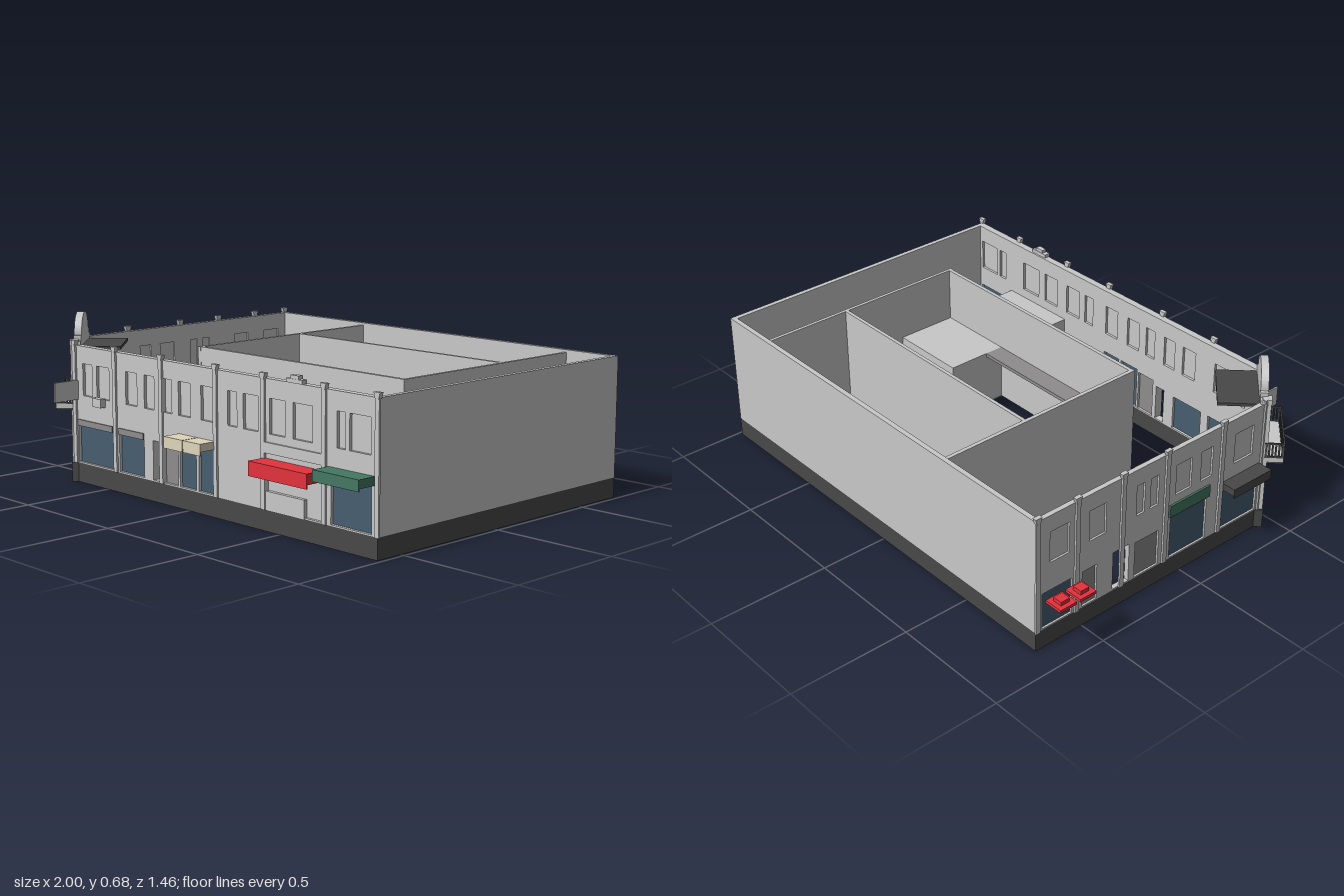
import * as THREE from 'three';

const mat = (name, color) => Object.assign(new THREE.MeshStandardMaterial({ color }), { name });

export function createModel() {
  const model = new THREE.Group();
  model.name = 'cornerShops';
  const wall = mat('wallGrey', 0xc8c8c8), dark = mat('charcoal', 0x484848), glass = mat('blueGlass', 0x465e70);
  const red = mat('awningRed', 0xe4323d), green = mat('awningGreen', 0x457764), beige = mat('awningBeige', 0xdfd5b9);
  const mid = mat('midGrey', 0x8e8c8d);

  const add = (parent, name, geo, m) => {
    const mesh = new THREE.Mesh(geo, m);
    mesh.name = name;
    parent.add(mesh);
    return mesh;
  };
  // Box given by its limits on each axis
  const box = (parent, name, m, x0, x1, y0, y1, z0, z1) => {
    const mesh = add(parent, name, new THREE.BoxGeometry(x1 - x0, y1 - y0, z1 - z0), m);
    mesh.position.set((x0 + x1) / 2, (y0 + y1) / 2, (z0 + z1) / 2);
  };
  const polygon = pts => new THREE.Shape(pts.map(p => new THREE.Vector2(p[0], p[1])));
  const extrude = (shape, depth) => new THREE.ExtrudeGeometry(shape, { depth, bevelEnabled: false, curveSegments: 10 });
  const facade = (name, x, z, angle) => {
    const g = new THREE.Group();
    g.name = name;
    g.position.set(x, 0, z);
    g.rotation.y = angle;
    model.add(g);
    return g;
  };
  // Wall plane with rectangular holes [x0, x1, y0, y1, fill]; its outer face is local z = 0
  const piercedWall = (g, shape, holes, depth) => {
    for (const [x0, x1, y0, y1] of holes) shape.holes.push(polygon([[x0, y0], [x0, y1], [x1, y1], [x1, y0]]));
    add(g, 'wall', extrude(shape, depth), wall).position.z = -depth;
    for (const [x0, x1, y0, y1, fill] of holes)
      if (fill) box(g, fill === glass ? 'shopWindow' : 'infillPanel', fill, x0, x1, y0, y1, -depth * 0.65, -depth * 0.4);
  };
  const rect = (x0, x1, y0, y1) => polygon([[x0, y0], [x1, y0], [x1, y1], [x0, y1]]);
  // Flat awning with a thin valance hanging from its front edge
  const awning = (g, name, m, x0, x1, y0, y1, reach, drop) => {
    box(g, name, m, x0, x1, y0, y1, 0, reach);
    box(g, name + 'Valance', m, x0, x1, y0 - drop, y0, reach - 0.005, reach);
  };
  // Pilaster with a flared cap
  const pilaster = (g, x) => {
    box(g, 'pilaster', wall, x - 0.01, x + 0.01, 0.08, 0.56, 0, 0.008);
    const cap = polygon([[-0.008, 0.556], [0.008, 0.556], [0.015, 0.58], [-0.015, 0.58]]);
    add(g, 'pilasterCap', extrude(cap, 0.017), wall).position.set(x, 0, -0.007);
  };
  const upper = list => list.map(([c, w]) => [c - w / 2, c + w / 2, 0.36, 0.49, wall]);

  // Plinth ring following the plan, flush with the walls
  const plinth = polygon([[-0.885, -0.43], [-0.7, -0.615], [0.985, -0.615], [0.985, 0.72], [-0.885, 0.72]]);
  plinth.holes.push(polygon([[-0.865, 0.7], [0.965, 0.7], [0.965, -0.585], [-0.69, -0.585], [-0.865, -0.42]]));
  add(model, 'plinth', extrude(plinth, 0.08), dark).rotation.x = -Math.PI / 2;

  // Plain back and side walls
  box(model, 'backWall', wall, -0.885, 0.985, 0.08, 0.56, -0.72, -0.7);
  box(model, 'sideWall', wall, 0.965, 0.985, 0.08, 0.56, -0.7, 0.615);

  // Inner partitions and rooms
  box(model, 'partition', wall, -0.378, -0.362, 0.08, 0.55, -0.7, 0.24);
  box(model, 'partition', wall, 0.738, 0.752, 0.08, 0.55, -0.7, 0.24);
  box(model, 'partition', wall, -0.362, 0.738, 0.08, 0.55, -0.325, -0.31);
  box(model, 'partition', wall, -0.362, 0.738, 0.08, 0.55, 0.222, 0.238);
  box(model, 'shopRoom', wall, 0.4, 0.752, 0.084, 0.32, -0.04, 0.585);
  box(model, 'shopFloor', mid, 0.4, 0.753, 0.076, 0.084, -0.04, 0.585);
  box(model, 'innerShelf', mid, -0.362, 0.4, 0.305, 0.32, 0.14, 0.222);

  // Long front facade
  const front = facade('frontFacade', 0, 0.615, 0);
  piercedWall(front, rect(-0.7, 0.965, 0.08, 0.56), [
    [-0.685, -0.46, 0.085, 0.235, glass], [-0.42, -0.265, 0.085, 0.235, glass],
    [-0.21, -0.165, 0.085, 0.24, null], [-0.145, -0.06, 0.085, 0.26, mid],
    [-0.05, 0.045, 0.085, 0.27, glass], [0.06, 0.15, 0.085, 0.27, glass],
    [0.43, 0.72, 0.085, 0.255, wall], [0.76, 0.955, 0.085, 0.27, glass],
    ...upper([[0.9, 0.1], [0.81, 0.04], [0.62, 0.1], [0.49, 0.08], [0.35, 0.08], [0.25, 0.05], [0.11, 0.07], [-0.02, 0.07],
      [-0.12, 0.05], [-0.23, 0.06], [-0.34, 0.07], [-0.52, 0.08], [-0.62, 0.06]]),
  ], 0.03);
  [-0.7, -0.44, -0.155, 0.16, 0.42, 0.73, 0.985].forEach(x => pilaster(front, x));
  for (const [x0, x1] of [[-0.685, -0.46], [-0.42, -0.265]]) box(front, 'windowHeader', mid, x0, x1, 0.235, 0.26, 0, 0.005);
  awning(front, 'beigeAwning', beige, -0.055, 0.053, 0.26, 0.29, 0.075, 0.015);
  awning(front, 'beigeAwning', beige, 0.057, 0.155, 0.26, 0.29, 0.075, 0.015);
  awning(front, 'redAwning', red, 0.42, 0.72, 0.23, 0.27, 0.078, 0.015);
  awning(front, 'greenAwning', green, 0.748, 0.97, 0.258, 0.29, 0.078, 0.01);
  box(front, 'signBoard', wall, 0.43, 0.72, 0.29, 0.33, 0, 0.008);
  box(front, 'stallRiser', wall, 0.43, 0.63, 0.08, 0.15, -0.012, 0.003);
  box(front, 'wallUnit', wall, -0.56, -0.505, 0.33, 0.365, 0, 0.025);
  box(front, 'crest', wall, 0.54, 0.62, 0.56, 0.575, -0.022, 0.004);
  box(front, 'crest', wall, 0.56, 0.6, 0.575, 0.588, -0.02, 0.002);
  box(front, 'projectingSign', wall, -0.689, -0.682, 0.34, 0.42, 0, 0.115);

  // Side street facade, local x runs towards the front
  const side = facade('sideFacade', -0.885, 0, -Math.PI / 2);
  piercedWall(side, rect(-0.72, 0.43, 0.08, 0.56), [
    [-0.69, -0.55, 0.085, 0.24, glass], [-0.5, -0.43, 0.085, 0.24, mid], [-0.35, -0.27, 0.085, 0.25, null],
    [-0.24, -0.12, 0.085, 0.24, mid], [-0.06, 0.13, 0.085, 0.265, glass], [0.22, 0.41, 0.085, 0.26, glass],
    ...upper([[-0.61, 0.09], [-0.43, 0.08], [-0.22, 0.04], [-0.15, 0.04], [0, 0.08], [0.12, 0.06], [0.32, 0.1]]),
  ], 0.02);
  [-0.715, -0.53, -0.31, -0.09, 0.2, 0.43].forEach(x => pilaster(side, x));
  awning(side, 'darkAwning', dark, 0.21, 0.415, 0.27, 0.3, 0.065, 0.01);
  box(side, 'greenSign', green, -0.07, 0.14, 0.275, 0.325, 0, 0.008);
  for (const x of [-0.67, -0.578]) {
    box(side, 'redCanopy', red, x - 0.038, x + 0.038, 0.234, 0.246, 0.038, 0.115);
    box(side, 'redCanopyTop', red, x - 0.02, x + 0.02, 0.246, 0.262, 0.057, 0.097);
  }

  // Cut corner with a shouldered gable and an arched head
  const corner = facade('cornerTower', -0.8, 0.525, -Math.PI / 4);
  const gable = polygon([[-0.135, 0.08], [0.135, 0.08], [0.135, 0.575], [0.112, 0.575], [0.112, 0.595], [0.095, 0.595]]);
  gable.absellipse(0, 0.595, 0.095, 0.083, 0, Math.PI, false);
  gable.lineTo(-0.112, 0.595);
  gable.lineTo(-0.112, 0.575);
  gable.lineTo(-0.135, 0.575);
  piercedWall(corner, gable, [[-0.08, 0.08, 0.085, 0.26, dark], [-0.06, 0.06, 0.325, 0.47, wall]], 0.03);
  box(corner, 'cornerPlinth', dark, -0.14, 0.14, 0, 0.08, -0.025, 0.014);
  for (const s of [-1, 1]) {
    box(corner, 'cornerPier', wall, s * 0.12 - 0.013, s * 0.12 + 0.013, 0.08, 0.56, 0, 0.012);
    box(corner, 'cornerPierCap', wall, s * 0.12 - 0.017, s * 0.12 + 0.017, 0.56, 0.58, -0.022, 0.014);
  }
  box(corner, 'cornerRoof', dark, -0.122, 0.122, 0.54, 0.552, -0.19, -0.03);

  // Balcony and its railing
  box(corner, 'balconyFloor', wall, -0.133, 0.133, 0.302, 0.32, 0, 0.075);
  box(corner, 'balconyUnderside', dark, -0.133, 0.133, 0.294, 0.302, 0, 0.075);
  for (const y of [0.32, 0.38]) {
    box(corner, 'frontRail', dark, -0.134, 0.134, y, y + 0.006, 0.071, 0.077);
    for (const s of [-1, 1]) box(corner, 'sideRail', dark, s * 0.131 - 0.003, s * 0.131 + 0.003, y, y + 0.006, 0, 0.075);
  }
  for (let i = 0; i <= 20; i++) {
    const x = -0.131 + i * 0.0131;
    box(corner, 'baluster', dark, x - 0.0035, x + 0.0035, 0.32, 0.384, 0.0715, 0.0765);
  }
  for (const s of [-1, 1])
    for (let i = 0; i < 6; i++) {
      const z = 0.006 + i * 0.0125;
      box(corner, 'baluster', dark, s * 0.131 - 0.0025, s * 0.131 + 0.0025, 0.32, 0.384, z - 0.0035, z + 0.0035);
    }

  return model;
}
